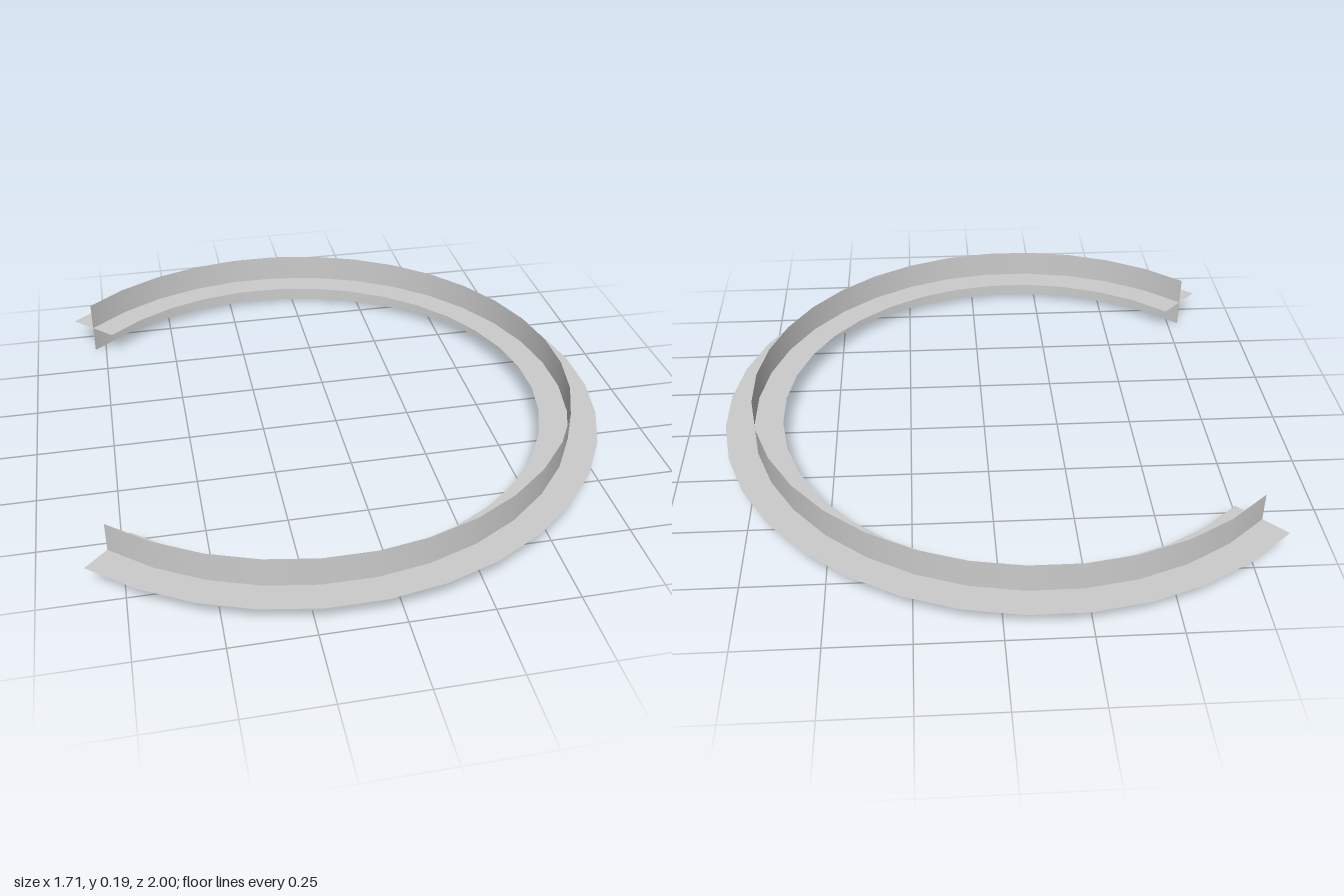
import * as THREE from 'three';

export function createModel() {
  const model = new THREE.Group();
  const material = new THREE.MeshStandardMaterial({ color: 0xcccccc, side: THREE.DoubleSide });

  const outer = 1.0038, inner = 0.817;
  const width = outer - inner, middle = (outer + inner) / 2;
  const segments = 27, arc = Math.PI * 1.5; // three-quarter circle, open towards -x

  const add = (name, geometry) => {
    const mesh = new THREE.Mesh(geometry, material);
    mesh.name = name;
    mesh.position.set(-0.145, width / 2, 0);
    model.add(mesh);
  };

  // Flat ring lying at mid height
  add('flatBand', new THREE.RingGeometry(inner, outer, segments, 1, -arc / 2, arc).rotateX(-Math.PI / 2));

  // Upright ribbon crossing the flat ring along its centre line
  add('uprightBand', new THREE.CylinderGeometry(middle, middle, width, segments, 1, true, -Math.PI / 4, arc));

  return model;
}
